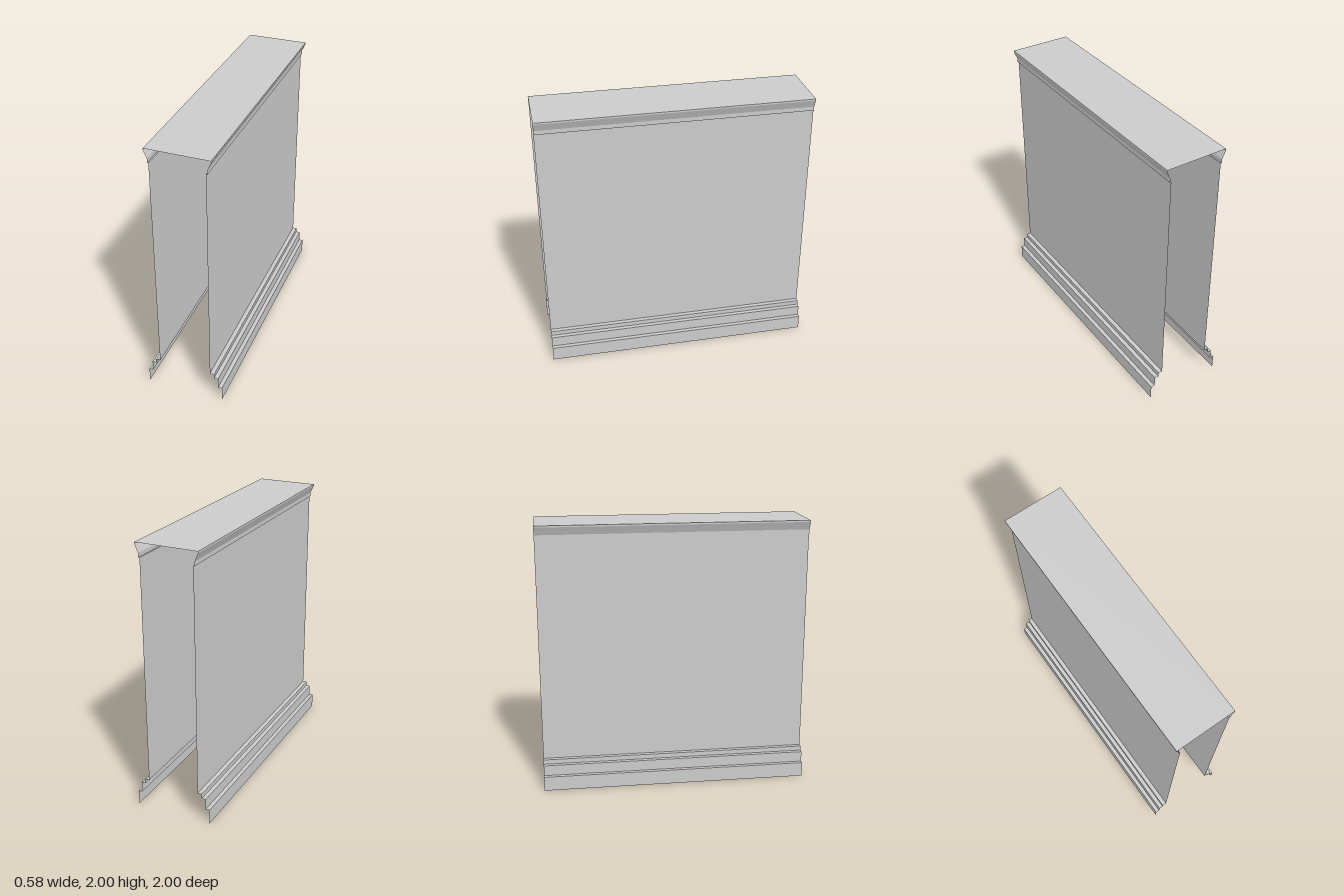
import * as THREE from 'three';

const material = new THREE.MeshStandardMaterial({ color: 0xcccccc, flatShading: true, side: THREE.DoubleSide });
const LENGTH = 2;

// Thin sheet: sweeps an open [x, y] profile along z.
function sheet(name, profile) {
  const positions = [];
  const h = LENGTH / 2;
  for (let i = 0; i < profile.length - 1; i++) {
    const [x0, y0] = profile[i];
    const [x1, y1] = profile[i + 1];
    positions.push(x0, y0, h, x0, y0, -h, x1, y1, -h);
    positions.push(x0, y0, h, x1, y1, -h, x1, y1, h);
  }
  const geometry = new THREE.BufferGeometry();
  geometry.setAttribute('position', new THREE.Float32BufferAttribute(positions, 3));
  geometry.computeVertexNormals();
  const mesh = new THREE.Mesh(geometry, material);
  mesh.name = name;
  return mesh;
}

// Right-hand profiles, listed from bottom to top so faces point outward.
const parts = {
  SteppedBase: [[0.29, 0], [0.29, 0.11], [0.26, 0.11], [0.26, 0.19], [0.229, 0.19], [0.229, 0.225], [0.197, 0.225]],
  WallPanel: [[0.197, 0.225], [0.197, 1.9]],
  Cornice: [[0.197, 1.9], [0.206, 1.9], [0.206, 1.93], [0.217, 1.955], [0.232, 1.988], [0.232, 2]],
};

export function createModel() {
  const model = new THREE.Group();
  model.name = 'wallSection';

  // Both long sides, mirrored across x
  for (const [side, s] of [['left', 1], ['right', -1]]) {
    for (const [part, points] of Object.entries(parts)) {
      const profile = points.map(([x, y]) => [s * x, y]);
      if (s < 0) profile.reverse();
      model.add(sheet(side + part, profile));
    }
  }

  // Flat top joining the two cornices; the ends and underside stay open
  model.add(sheet('topCap', [[0.232, 2], [-0.232, 2]]));
  return model;
}
